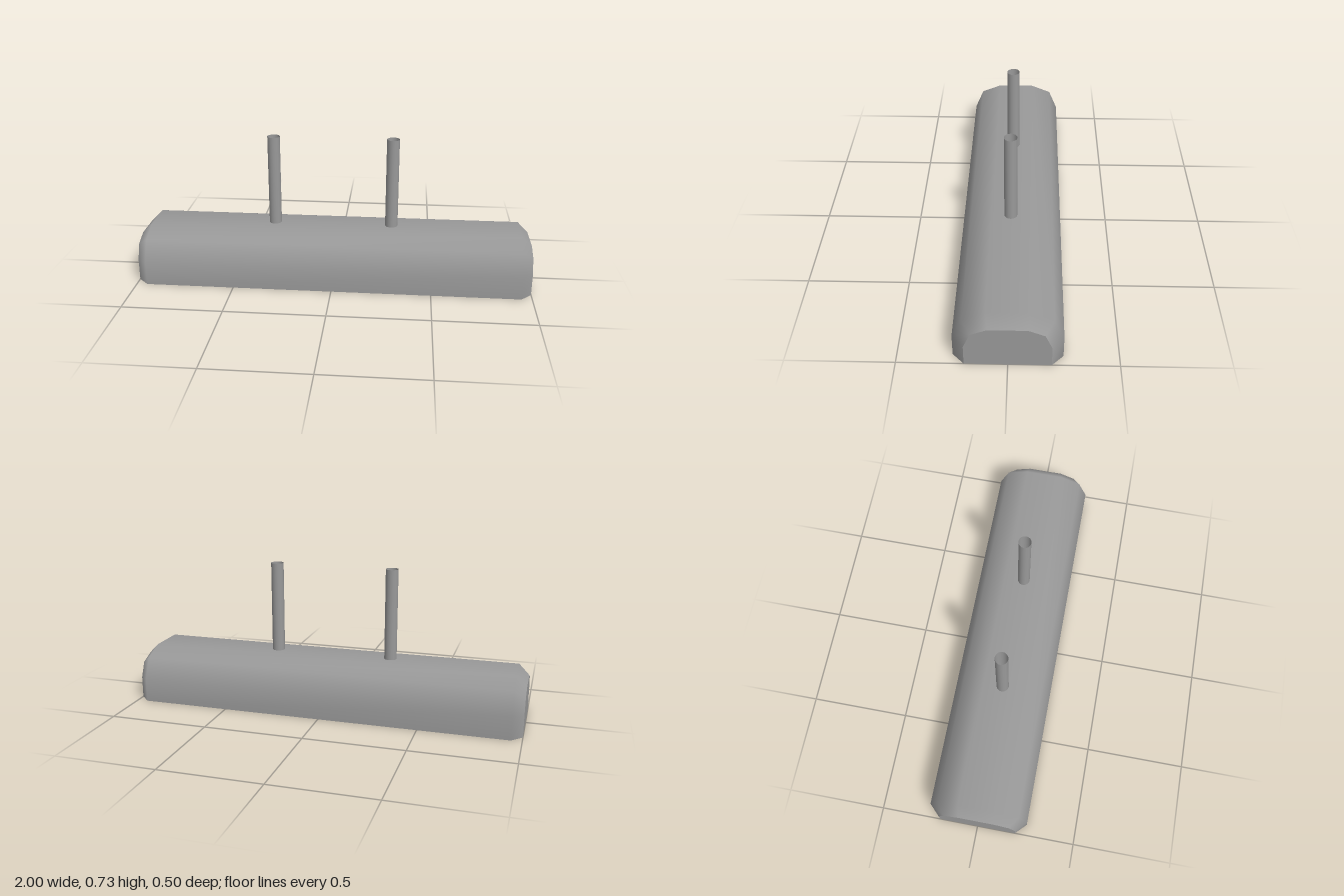
import * as THREE from 'three';
import { mergeGeometries } from 'three/addons/utils/BufferGeometryUtils.js';

// Indexed geometry with smooth normals across shared vertices
function surface(points, index) {
  const g = new THREE.BufferGeometry();
  g.setAttribute('position', new THREE.Float32BufferAttribute(points.flat(), 3));
  g.setIndex(index);
  g.computeVertexNormals();
  return g;
}

// Flat convex face, corners counter-clockwise seen from outside
function face(points) {
  const index = [];
  for (let i = 1; i < points.length - 1; i++) index.push(0, i, i + 1);
  return surface(points, index);
}

// Arched half profile [z, y], mirrored to run from front to back
function section(x, half) {
  const back = half.map(([z, y]) => [-z, y]).reverse();
  return [...half, ...back].map(([z, y]) => [x, y, z]);
}

export function createModel() {
  const group = new THREE.Group();
  const grey = new THREE.MeshStandardMaterial({ color: 0x999999 });
  grey.name = 'grey';
  const greyTube = new THREE.MeshStandardMaterial({ color: 0x999999, side: THREE.DoubleSide });
  greyTube.name = 'grey tube';

  // Bar: arched cross-sections, narrowed at both ends
  const full = [[0.249, 0], [0.249, 0.12], [0.204, 0.228], [0.098, 0.271]];
  const end = [[0.196, 0], [0.196, 0.11], [0.164, 0.187], [0.089, 0.219]];
  const rings = [
    section(-1, end), section(-0.947, full), section(0.947, full), section(1, end),
  ];
  const n = rings[0].length;
  const index = [];
  for (let i = 0; i < rings.length - 1; i++) {
    for (let j = 0; j < n - 1; j++) {
      const a = i * n + j, b = a + n;
      index.push(a, b, b + 1, a, b + 1, a + 1);
    }
  }
  const shell = surface(rings.flat(), index);

  // Flat ends and underside
  const leftEnd = face([...rings[3]].reverse());
  const rightEnd = face(rings[0]);
  const underside = face([
    ...rings.map((r) => r[0]).reverse(),
    ...rings.map((r) => r[n - 1]),
  ]);
  const bar = new THREE.Mesh(mergeGeometries([shell, leftEnd, rightEnd, underside]), grey);
  bar.name = 'bar';
  group.add(bar);

  // Two open upright tubes
  const bottom = 0.265, top = 0.733;
  const tubeGeometry = new THREE.CylinderGeometry(0.032, 0.032, top - bottom, 16, 1, true);
  for (const [name, x] of [['rightTube', -0.311], ['leftTube', 0.291]]) {
    const tube = new THREE.Mesh(tubeGeometry, greyTube);
    tube.name = name;
    tube.position.set(x, (top + bottom) / 2, 0.003);
    group.add(tube);
  }
  return group;
}
